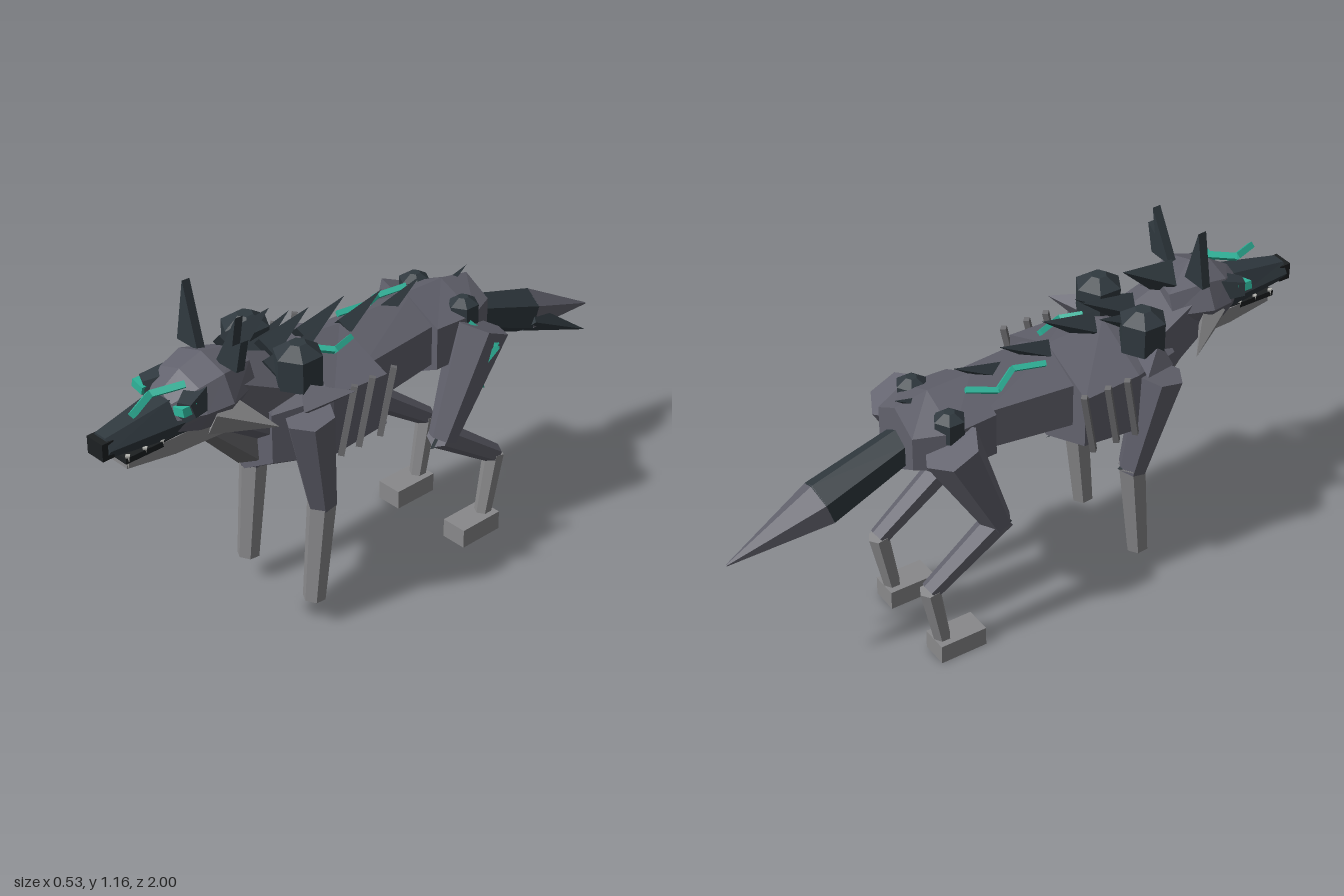
import * as THREE from 'three';

const material = (name, color) => Object.assign(new THREE.MeshStandardMaterial({ color }), { name });
const fur = material('slate fur', 0x62626d);
const dark = material('charcoal armour', 0x30393f);
const pale = material('pale grey', 0x89898b);
const throatGrey = material('throat grey', 0x6c6c6f);
const black = material('nose black', 0x1d2022);
const teal = material('teal glow', 0x2fb59b);
const bone = material('bone', 0xb5b5b0);

const V = (x, y, z) => new THREE.Vector3(x, y, z);

export function createModel() {
  const model = new THREE.Group();
  model.name = 'wolf';

  // Adds a mesh with faceted normals
  function add(name, geometry, mat) {
    const g = geometry.index ? geometry.toNonIndexed() : geometry;
    g.computeVertexNormals();
    const mesh = new THREE.Mesh(g, mat);
    mesh.name = name;
    model.add(mesh);
    return mesh;
  }

  // Tapered prism between two points; flat squeezes it sideways
  function limb(name, a, b, ra, rb, mat, sides = 6, flat = 1) {
    const d = b.clone().sub(a);
    const g = new THREE.CylinderGeometry(rb, ra, d.length(), sides);
    g.scale(flat, 1, 1);
    const y = d.normalize();
    const ref = Math.abs(y.x) > 0.8 ? V(0, 0, 1) : V(1, 0, 0);
    const z = ref.cross(y).normalize();
    const x = y.clone().cross(z);
    g.applyMatrix4(new THREE.Matrix4().makeBasis(x, y, z));
    const c = a.clone().add(b).multiplyScalar(0.5);
    g.translate(c.x, c.y, c.z);
    return add(name, g, mat);
  }
  const spike = (name, a, b, r, mat, flat = 1, sides = 4) => limb(name, a, b, r, 0, mat, sides, flat);

  // Closed skin over rings [z, centre y, x radius, y radius], z increasing
  function loft(name, rings, mat, sides = 6, turn = 0) {
    const p = [];
    const at = ([z, cy, rx, ry], i) => {
      const a = (i / sides) * Math.PI * 2 + turn;
      return [Math.sin(a) * rx, cy + Math.cos(a) * ry, z];
    };
    const first = rings[0], last = rings[rings.length - 1];
    for (let i = 0; i < sides; i++) {
      for (let k = 0; k + 1 < rings.length; k++) {
        const A = at(rings[k], i), A2 = at(rings[k], i + 1);
        const B = at(rings[k + 1], i), B2 = at(rings[k + 1], i + 1);
        p.push(...A, ...B, ...B2, ...A, ...B2, ...A2);
      }
      p.push(0, first[1], first[0], ...at(first, i), ...at(first, i + 1));
      p.push(0, last[1], last[0], ...at(last, i + 1), ...at(last, i));
    }
    const g = new THREE.BufferGeometry();
    g.setAttribute('position', new THREE.Float32BufferAttribute(p, 3));
    return add(name, g, mat);
  }

  function box(name, w, h, d, x, y, z, mat, rz = 0, rx = 0) {
    const m = add(name, new THREE.BoxGeometry(w, h, d), mat);
    m.position.set(x, y, z);
    m.rotation.set(rx, 0, rz);
    return m;
  }

  function zigzag(name, points, r = 0.012) {
    for (let i = 0; i + 1 < points.length; i++) {
      limb(name, V(...points[i]), V(...points[i + 1]), r, r, teal, 4);
    }
  }

  // Body
  loft('hips', [[-0.43, 0.745, 0.11, 0.11], [-0.32, 0.74, 0.17, 0.135], [-0.17, 0.74, 0.16, 0.14]], fur);
  loft('waist', [[-0.2, 0.745, 0.13, 0.13], [0.14, 0.735, 0.165, 0.145]], fur);
  loft('chest', [[0.1, 0.71, 0.235, 0.17], [0.3, 0.7, 0.225, 0.2], [0.48, 0.7, 0.15, 0.16]], fur);
  limb('neck', V(0, 0.74, 0.38), V(0, 0.87, 0.62), 0.15, 0.115, fur);
  limb('throat', V(0, 0.63, 0.45), V(0, 0.78, 0.63), 0.08, 0.05, throatGrey, 6);
  spike('bellySpike', V(0, 0.56, 0.3), V(0, 0.53, 0.1), 0.05, dark);

  // Head
  loft('skull', [[0.5, 0.88, 0.09, 0.09], [0.62, 0.885, 0.14, 0.11], [0.7, 0.875, 0.12, 0.095], [0.77, 0.86, 0.07, 0.065]], fur, 8);
  loft('snout', [[0.7, 0.855, 0.09, 0.08], [0.78, 0.85, 0.075, 0.07], [0.98, 0.84, 0.045, 0.038]], dark, 6, Math.PI / 6);
  box('nose', 0.068, 0.055, 0.04, 0, 0.838, 0.98, black);
  loft('jaw', [[0.6, 0.775, 0.085, 0.045], [0.76, 0.765, 0.065, 0.038], [0.92, 0.77, 0.045, 0.025]], pale, 4, Math.PI / 4);
  box('mouth', 0.085, 0.018, 0.2, 0, 0.785, 0.83, black);

  // Ears, the left one torn
  const ears = {
    rightEar: [[-0.13, 0.97], [-0.04, 0.97], [-0.11, 1.16]],
    leftEar: [[0.04, 0.97], [0.13, 0.97], [0.145, 1.07], [0.11, 1.045], [0.12, 1.135]],
  };
  for (const [name, pts] of Object.entries(ears)) {
    const shape = new THREE.Shape(pts.map(([x, y]) => new THREE.Vector2(x, y - 0.96)));
    const ear = add(name, new THREE.ExtrudeGeometry(shape, { depth: 0.028, bevelEnabled: false }), dark);
    ear.position.set(0, 0.96, 0.575);
    ear.rotation.x = -0.06;
  }

  // Mirrored parts
  for (const s of [-1, 1]) {
    const side = s > 0 ? 'left' : 'right';
    const P = (x, y, z) => V(s * x, y, z);

    // Face
    limb(side + 'BrowMask', P(0.06, 0.9, 0.68), P(0.095, 0.895, 0.76), 0.055, 0.035, dark, 5);
    box(side + 'Eye', 0.045, 0.026, 0.05, s * 0.092, 0.903, 0.755, teal, s * 0.25);
    spike(side + 'CheekTuft', P(0.09, 0.85, 0.65), P(0.2, 0.79, 0.51), 0.07, pale, 0.6);
    for (const [z, h] of [[0.92, 0.045], [0.86, 0.03], [0.8, 0.03]]) {
      spike(side + 'Tooth', P(0.038, 0.8, z), P(0.038, 0.8 - h, z), 0.009, bone);
    }

    // Shoulder and hip armour
    for (const [name, x, y, z, r, h] of [['ShoulderArmour', 0.115, 0.905, 0.365, 0.075, 0.13], ['HipArmour', 0.105, 0.815, -0.31, 0.05, 0.085]]) {
      limb(side + name, P(x, y - h / 2, z), P(x, y + h * 0.25, z), r, r, dark);
      limb(side + name + 'Cap', P(x, y + h * 0.25, z), P(x, y + h / 2, z), r, r * 0.35, dark);
    }
    spike(side + 'ShoulderSpike', P(0.16, 0.81, 0.38), P(0.265, 0.84, 0.28), 0.06, fur);
    spike(side + 'ManeSpike', P(0.05, 0.87, 0.42), P(0.065, 0.95, 0.24), 0.045, dark);

    // Ribs
    for (const z of [0.1, 0.185, 0.255]) {
      limb(side + 'Rib', P(0.207, 0.6, z + 0.03), P(0.217, 0.82, z - 0.015), 0.013, 0.013, throatGrey, 4);
    }

    // Front leg
    limb(side + 'FrontUpperLeg', P(0.182, 0.77, 0.385), P(0.155, 0.42, 0.315), 0.078, 0.046, fur);
    limb(side + 'FrontLowerLeg', P(0.155, 0.44, 0.315), P(0.153, 0.09, 0.35), 0.046, 0.036, pale);
    spike(side + 'ElbowSpike', P(0.155, 0.43, 0.315), P(0.155, 0.44, 0.26), 0.03, dark);

    // Hind leg
    limb(side + 'Thigh', P(0.155, 0.77, -0.335), P(0.158, 0.43, -0.18), 0.092, 0.045, fur);
    limb(side + 'Shin', P(0.158, 0.45, -0.165), P(0.152, 0.265, -0.42), 0.045, 0.032, fur);
    spike(side + 'KneeSpike', P(0.158, 0.43, -0.18), P(0.158, 0.41, -0.13), 0.035, dark);
    limb(side + 'Hock', P(0.152, 0.27, -0.42), P(0.15, 0.06, -0.38), 0.034, 0.028, pale);
    box(side + 'HindPaw', 0.09, 0.065, 0.16, s * 0.15, 0.0325, -0.33, pale);
  }

  // Spikes along the back: [tip y, tip z, length, radius]
  const spines = [
    [1.035, 0.37, 0.16, 0.06], [0.98, 0.22, 0.17, 0.05], [0.965, 0.08, 0.17, 0.045],
    [0.93, -0.07, 0.16, 0.038], [0.915, -0.23, 0.16, 0.035], [0.88, -0.43, 0.16, 0.035],
  ];
  for (const [y, z, len, r] of spines) spike('backSpike', V(0, y - len * 0.45, z + len), V(0, y, z), r, dark);

  // Tail
  limb('tailBase', V(0, 0.72, -0.41), V(0, 0.62, -0.69), 0.06, 0.075, dark);
  limb('tailTip', V(0, 0.62, -0.69), V(0, 0.527, -1), 0.075, 0.003, fur);
  spike('tailBarb', V(0.035, 0.61, -0.68), V(0.075, 0.49, -0.92), 0.045, dark);

  // Glowing cracks
  zigzag('snoutGlow', [[0.05, 0.95, 0.72], [0.005, 0.935, 0.81], [0.045, 0.925, 0.9]], 0.014);
  zigzag('shoulderGlow', [[0.07, 0.87, 0.12], [0.1, 0.875, 0.21], [0.06, 0.89, 0.27]]);
  zigzag('backGlow', [[-0.05, 0.865, -0.22], [-0.085, 0.85, -0.13], [-0.04, 0.87, -0.05], [-0.065, 0.865, 0.05]]);
  zigzag('thighGlow', [[0.15, 0.79, -0.29], [0.235, 0.73, -0.33], [0.2, 0.65, -0.29], [0.17, 0.56, -0.335]]);

  return model;
}
